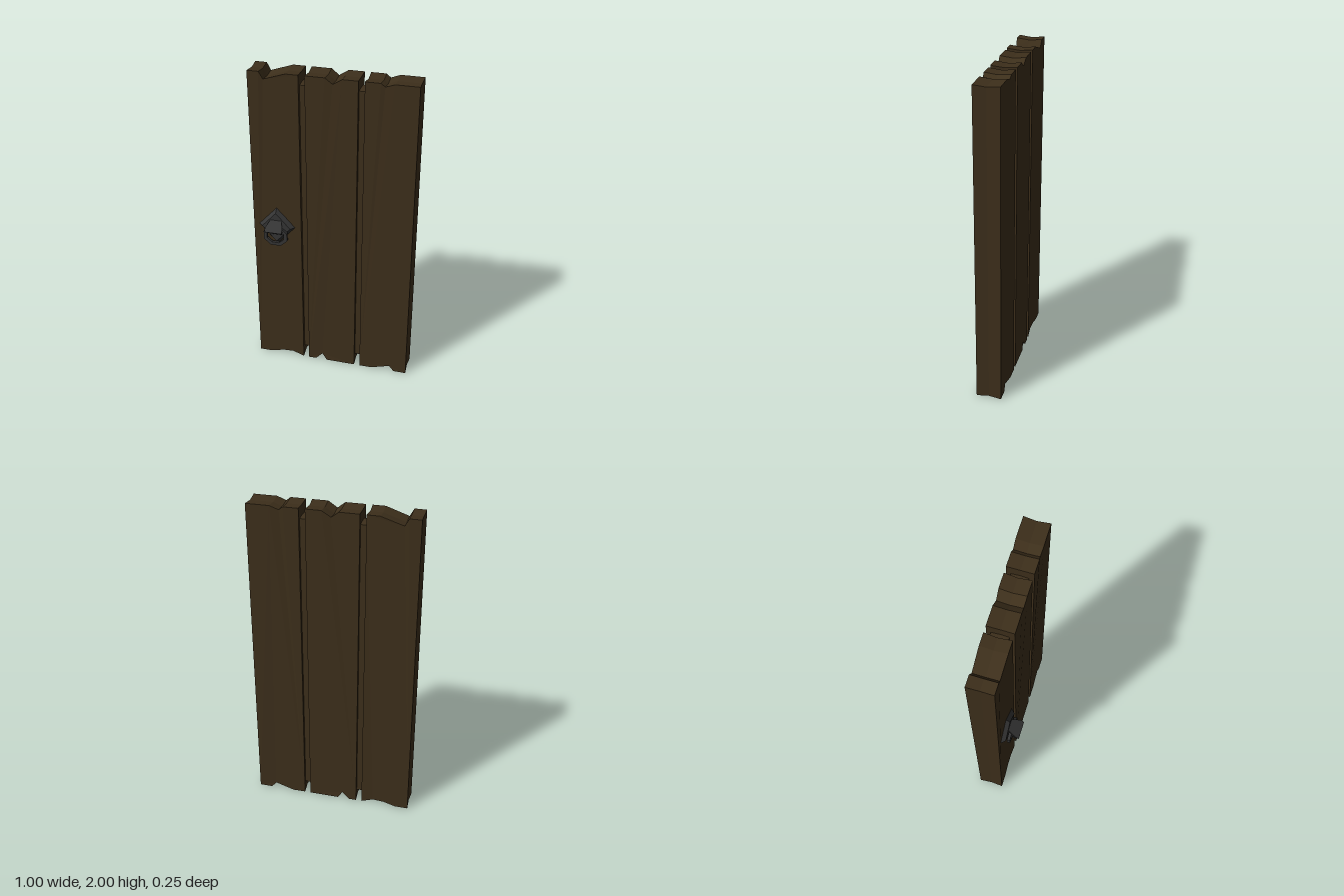
import * as THREE from 'three';

const wood = new THREE.MeshStandardMaterial({ color: 0x3d2f1b, flatShading: true });
const iron = new THREE.MeshStandardMaterial({ color: 0x343434, flatShading: true });

function add(parent, name, geometry, material) {
  const mesh = new THREE.Mesh(geometry, material);
  mesh.name = name;
  parent.add(mesh);
  return mesh;
}

function shapeOf(points) {
  return new THREE.Shape(points.map(([x, y]) => new THREE.Vector2(x, y)));
}

// Move every vertex of a geometry by a rule
function reshape(geometry, rule) {
  const p = geometry.attributes.position;
  const v = new THREE.Vector3();
  for (let i = 0; i < p.count; i++) {
    rule(v.fromBufferAttribute(p, i));
    p.setXYZ(i, v.x, v.y, v.z);
  }
  geometry.computeVertexNormals();
  return geometry;
}

// Rough plank: chipped ends, waist slightly pinched halfway through its depth
function plankGeometry(x0, x1, bottom, top) {
  const outline = [[x0, 0], ...bottom, [x1, 0], [x1, 2], ...top, [x0, 2]];
  const geometry = new THREE.ExtrudeGeometry(shapeOf(outline), { depth: 0.155, steps: 2, bevelEnabled: false });
  const middle = (x0 + x1) / 2;
  return reshape(geometry, (v) => {
    v.z -= 0.0775;
    const chipped = (v.y > 0.002 && v.y < 1.998);
    if (Math.abs(v.z) < 0.01) {
      v.x = middle + (v.x - middle) * 0.975;
      v.y = 1 + (v.y - 1) * 0.992;
    } else if (chipped) {
      v.z *= 0.96;
    }
    v.z -= 0.0475;
  });
}

export function createModel() {
  const door = new THREE.Group();
  door.name = 'door';

  // Three planks: left edge, right edge, bottom chips (left to right), top chips (right to left)
  const planks = [
    ['plankRight', -0.5, -0.195,
      [[-0.42, 0], [-0.34, 0.02], [-0.27, 0.025]],
      [[-0.27, 2], [-0.405, 1.955], [-0.43, 2]]],
    ['plankMiddle', -0.158, 0.153,
      [[-0.11, 0], [-0.065, 0.045], [-0.035, 0]],
      [[0.06, 2], [0.005, 1.965], [-0.04, 2]]],
    ['plankLeft', 0.19, 0.5,
      [[0.27, 0], [0.39, 0.035], [0.42, 0]],
      [[0.36, 2], [0.305, 1.98], [0.28, 2]]],
  ];
  for (const [name, x0, x1, bottom, top] of planks) {
    add(door, name, plankGeometry(x0, x1, bottom, top), wood);
  }

  // Recessed strips closing the gaps between planks
  for (const x of [-0.1765, 0.1715]) {
    add(door, 'gapStrip', new THREE.BoxGeometry(0.06, 1.86, 0.1), wood).position.set(x, 1, -0.05);
  }

  const handle = new THREE.Group();
  handle.name = 'handle';
  handle.position.set(-0.35, 1, 0);
  door.add(handle);

  // Diamond back plate with sloping rim
  const plate = new THREE.CylinderGeometry(0.09, 0.115, 0.025, 4);
  plate.rotateX(Math.PI / 2).scale(1, 1.1, 1);
  add(handle, 'backPlate', plate, iron).position.z = 0.0415;

  // Bracket: a V-shaped strap, flared towards its tip
  const strap = [[0.05, 0.052], [0.05, 0.034], [0.1, 0], [0.05, -0.034],
    [0.05, -0.052], [0.1, -0.018], [0.125, 0], [0.1, 0.018]];
  const bracket = new THREE.ExtrudeGeometry(shapeOf(strap), { depth: 0.11, bevelEnabled: false });
  bracket.translate(0, 0, -0.055).rotateY(-Math.PI / 2);
  reshape(bracket, (v) => { if (v.z < 0.09) v.x *= 0.62; });
  add(handle, 'bracket', bracket, iron);

  // Eight-sided pull ring hanging in the bracket
  const octagon = (rx, ry) => Array.from({ length: 8 }, (_, i) => {
    const a = (i + 0.5) * Math.PI / 4;
    return [rx * Math.cos(a), ry * Math.sin(a)];
  });
  const ringShape = shapeOf(octagon(0.081, 0.07));
  ringShape.holes.push(shapeOf(octagon(0.058, 0.048)));
  const ring = new THREE.ExtrudeGeometry(ringShape, { depth: 0.018, bevelEnabled: false });
  add(handle, 'pullRing', ring, iron).position.set(0, -0.052, 0.057);

  return door;
}
